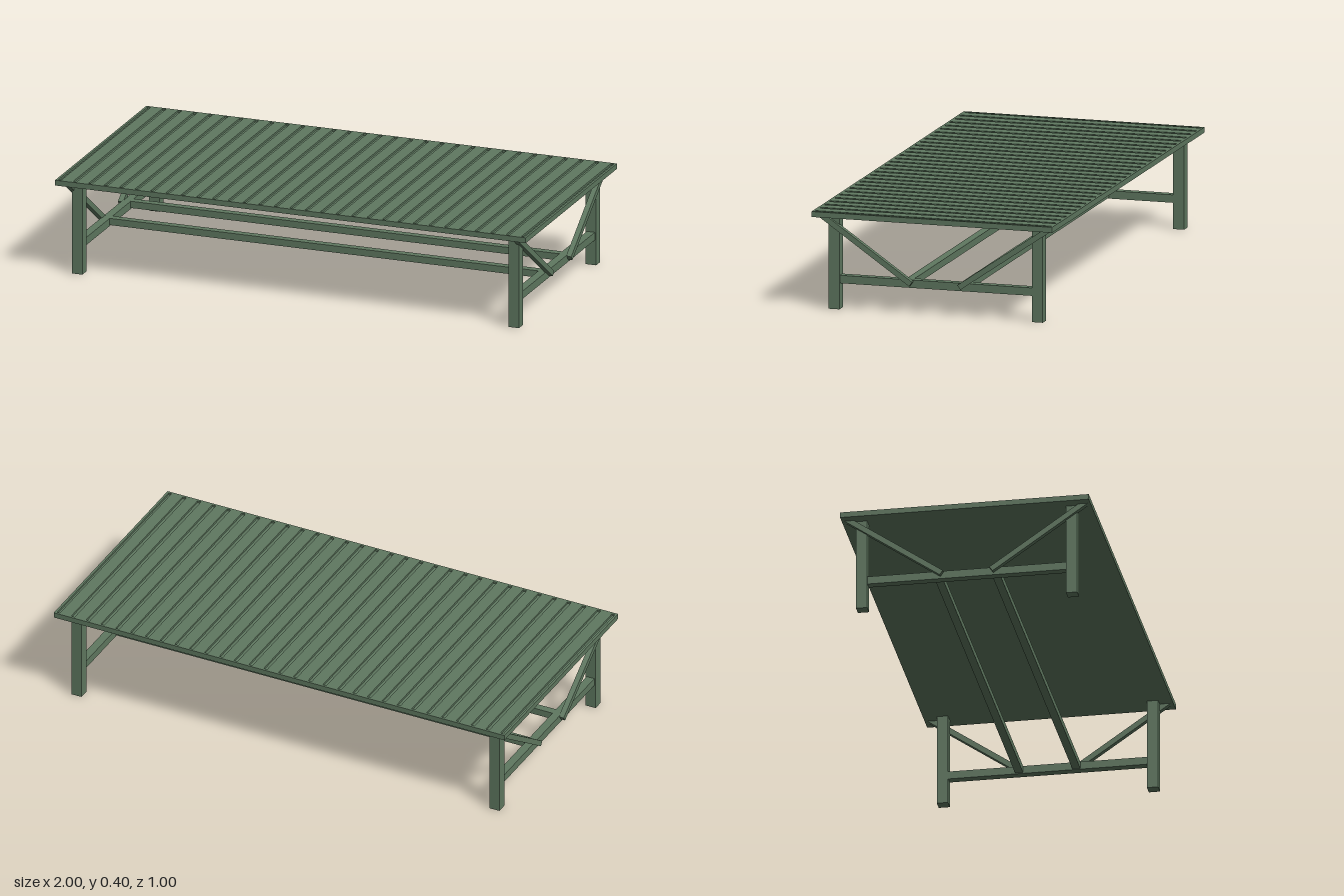
import * as THREE from 'three';

export function createModel() {
  const model = new THREE.Group();
  model.name = 'slattedTable';
  const green = new THREE.MeshStandardMaterial({ color: 0x5f7860 });

  // Box given by its centre and size
  const box = (name, w, h, d, x, y, z) => {
    const mesh = new THREE.Mesh(new THREE.BoxGeometry(w, h, d), green);
    mesh.name = name;
    mesh.position.set(x, y, z);
    model.add(mesh);
    return mesh;
  };

  // Table top: base board, rim and raised slats
  const top = 0.4, under = 0.378, rim = 0.01, thick = top - under;
  box('topBoard', 2 - 2 * rim, 0.014, 1 - 2 * rim, 0, under + 0.007, 0);
  for (const s of [-1, 1]) {
    box('longRim', 2, thick, rim, 0, under + thick / 2, s * (0.5 - rim / 2));
    box('endRim', rim, thick, 1 - 2 * rim, s * (1 - rim / 2), under + thick / 2, 0);
  }
  const slats = 30, pitch = 0.0657;
  for (let i = 0; i < slats; i++) {
    const x = (i - (slats - 1) / 2) * pitch;
    box('slat', 0.05, 0.01, 1 - 2 * rim, x, top - 0.005, 0);
  }

  // Legs, end stretchers and diagonal braces, mirrored to all corners
  const legX = 0.9275, legZ = 0.4225;
  const foot = new THREE.Vector2(0.1, 0.123), head = new THREE.Vector2(0.484, 0.388);
  const run = head.clone().sub(foot);
  for (const sx of [-1, 1]) {
    box('endStretcher', 0.034, 0.032, 0.8, sx * legX, 0.121, 0);
    for (const sz of [-1, 1]) {
      box('leg', 0.045, under, 0.045, sx * legX, under / 2, sz * legZ);
      const brace = box('brace', 0.022, 0.022, run.length(), sx * 0.952,
        (foot.y + head.y) / 2, sz * (foot.x + head.x) / 2);
      brace.rotation.x = -sz * run.angle();
    }
  }

  // Long stretchers between the two ends
  for (const sz of [-1, 1]) box('longStretcher', 1.83, 0.028, 0.032, 0, 0.123, sz * 0.115);

  return model;
}
